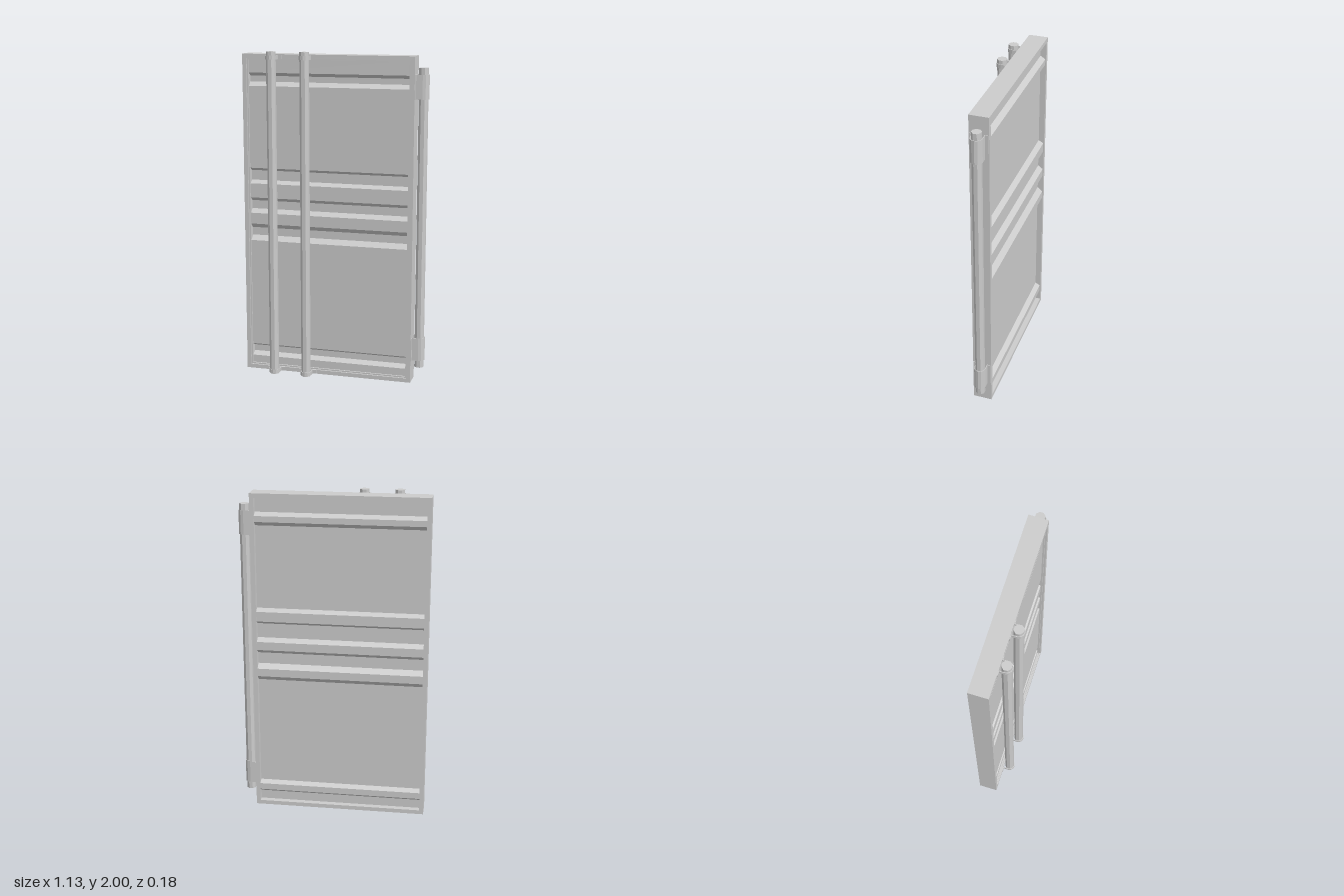
import * as THREE from 'three';

const mat = new THREE.MeshStandardMaterial({ color: 0xcccccc, flatShading: true, side: THREE.DoubleSide });

function add(parent, name, geometry, x = 0, y = 0, z = 0) {
  const mesh = new THREE.Mesh(geometry, mat);
  mesh.name = name;
  mesh.position.set(x, y, z);
  parent.add(mesh);
  return mesh;
}

const polygon = (pts) => new THREE.Shape(pts.map(([x, y]) => new THREE.Vector2(x, y)));
const rect = (x0, y0, x1, y1) => [[x0, y0], [x1, y0], [x1, y1], [x0, y1]];

// Rectangular ring running from z0 to z1
function ring(outer, inner, z0, z1) {
  const shape = polygon(rect(...outer));
  shape.holes.push(polygon(rect(...inner).reverse()));
  return new THREE.ExtrudeGeometry(shape, { depth: z1 - z0, bevelEnabled: false }).translate(0, 0, z0);
}

// Corrugated infill: each groove is [upper edge, upper floor, lower floor, lower edge]
function corrugatedPanel(x0, x1, y0, y1) {
  const grooves = [
    [1.87, 1.85, 1.815, 1.79],
    [1.29, 1.272, 1.212, 1.193],
    [1.105, 1.083, 1.032, 1.008],
    [0.94, 0.912, 0.864, 0.835],
    [0.162, 0.145, 0.106, 0.085],
  ];
  const thickness = 0.06, depth = 0.03;
  const front = [[0, y1]];
  for (const [a, b, c, d] of grooves) front.push([0, a], [depth, b], [depth, c], [0, d]);
  front.push([0, y0]);
  const back = front.map(([u, y]) => [u + thickness, y]).reverse();
  return new THREE.ExtrudeGeometry(polygon([...front, ...back]), { depth: x1 - x0, bevelEnabled: false })
    .rotateY(Math.PI / 2).translate(x0, 0, 0);
}

// U-shaped strap with side flanges, opening toward -z, centred on y = 0
function strap(r, axis, flange, height) {
  const t = 0.004, ri = r - t;
  const arc = (radius) => Array.from({ length: 7 }, (_, i) => {
    const a = Math.PI - (i / 6) * Math.PI;
    return [radius * Math.cos(a), axis + radius * Math.sin(a)];
  });
  const outline = [[-flange, 0], [-flange, t], [-r, t], ...arc(r), [r, t], [flange, t], [flange, 0],
    [ri, 0], ...arc(ri).reverse(), [-ri, 0]];
  return new THREE.ExtrudeGeometry(polygon(outline), { depth: height, bevelEnabled: false })
    .rotateX(Math.PI / 2).translate(0, height / 2, 0);
}

const rod = (r, height) => new THREE.CylinderGeometry(r, r, height, 8).rotateY(Math.PI / 8);

export function createModel() {
  const model = new THREE.Group();
  model.name = 'containerDoor';

  // Door leaf
  const opening = [-0.54, 0.03, 0.463, 1.957];
  add(model, 'doorFrame', ring([-0.565, 0.005, 0.488, 1.983], opening, -0.095, 0.02));
  add(model, 'innerLip', ring(opening, [-0.532, 0.038, 0.455, 1.949], -0.06, 0.01));
  add(model, 'corrugatedPanel', corrugatedPanel(-0.54, 0.463, 0.03, 1.957));

  // Locking bars on the front, held by a guide at each end
  for (const x of [-0.372, -0.166]) {
    const bar = new THREE.Group();
    bar.name = 'lockingBar';
    bar.position.set(x, 0, 0);
    add(bar, 'lockingRod', rod(0.029, 2), 0, 1, 0.055);
    for (const y of [0.018, 1.966]) add(bar, 'rodGuide', strap(0.034, 0.035, 0.057, 0.024), 0, y, 0.02);
    model.add(bar);
  }

  // Hinge post on the left edge
  const hinge = new THREE.Group();
  hinge.name = 'hinge';
  add(hinge, 'hingePost', rod(0.029, 1.82), 0.53, 1.005, -0.04);
  for (const y of [0.213, 1.805]) {
    add(hinge, 'hingeStrap', strap(0.035, 0.042, 0.055, 0.143).rotateY(Math.PI / 2), 0.488, y, -0.038);
  }
  model.add(hinge);
  return model;
}
